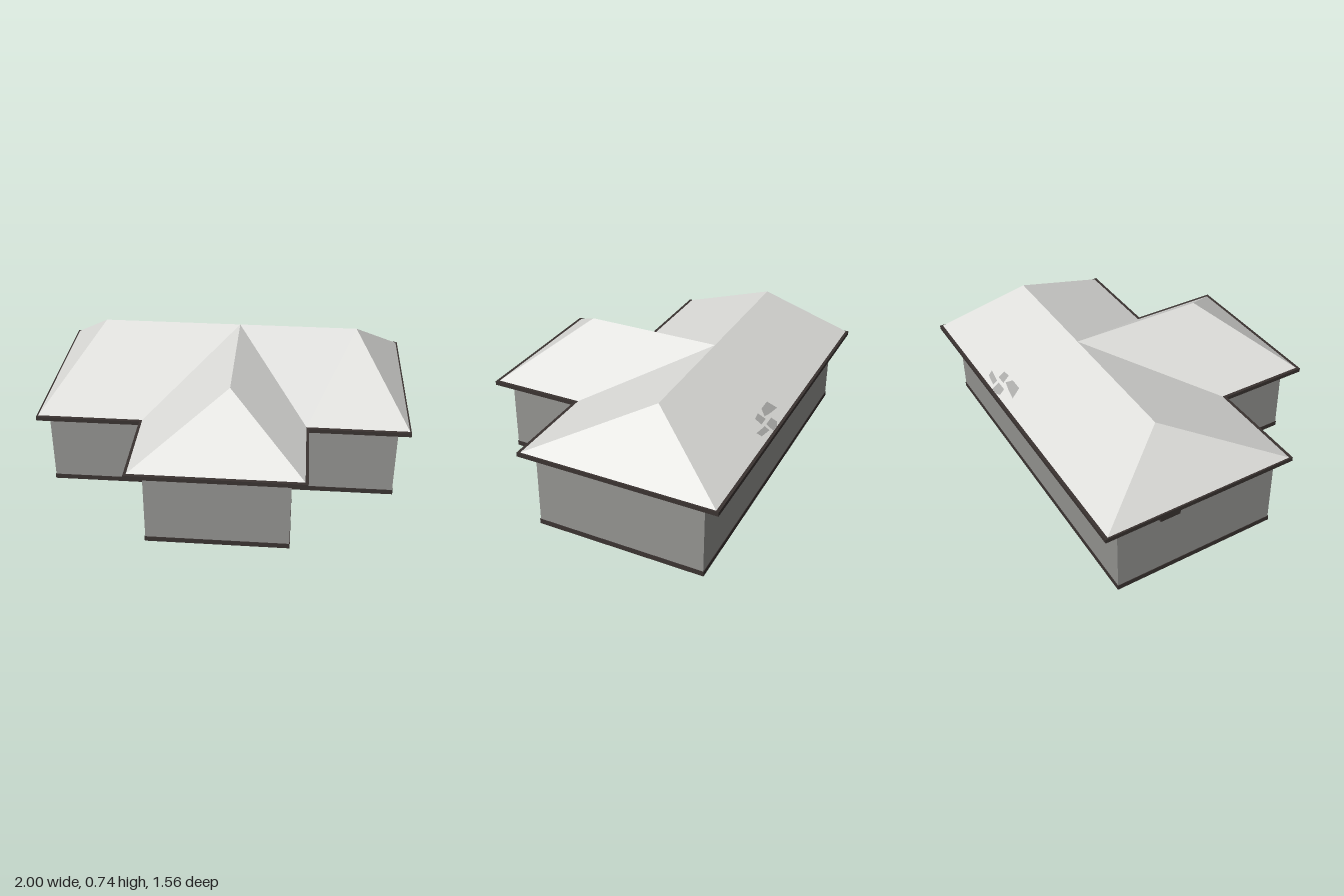
import * as THREE from 'three';

const mat = (name, color, side = THREE.FrontSide) => {
  const m = new THREE.MeshStandardMaterial({ color, side });
  m.name = name;
  return m;
};

// T-shaped floor plan, extruded upwards from y0 to y1
function plan(x0, x1, zBack, zMid, zFront, w0, w1, y0, y1) {
  const pts = [[x0, zBack], [x1, zBack], [x1, zMid], [w1, zMid], [w1, zFront], [w0, zFront], [w0, zMid], [x0, zMid]];
  const shape = new THREE.Shape(pts.map(([x, z]) => new THREE.Vector2(x, -z)));
  const g = new THREE.ExtrudeGeometry(shape, { depth: y1 - y0, bevelEnabled: false });
  g.rotateX(-Math.PI / 2);
  g.translate(0, y0, 0);
  return g;
}

// Flat polygons (counter-clockwise from outside), each split into a fan
function facets(polys) {
  const pos = [];
  for (const p of polys)
    for (let i = 1; i < p.length - 1; i++) pos.push(...p[0], ...p[i], ...p[i + 1]);
  const g = new THREE.BufferGeometry();
  g.setAttribute('position', new THREE.Float32BufferAttribute(pos, 3));
  g.computeVertexNormals();
  return g;
}

export function createModel() {
  const group = new THREE.Group();
  const roofMat = mat('pale roof', 0xdededb, THREE.DoubleSide);
  const wallMat = mat('grey wall', 0x92928f);
  const trimMat = mat('dark trim', 0x3a3331);
  const patchMat = mat('worn roof patch', 0xa9a9a7, THREE.DoubleSide);
  const add = (name, geometry, material, parent = group) => {
    const m = new THREE.Mesh(geometry, material);
    m.name = name;
    parent.add(m);
    return m;
  };
  const box = (name, w, h, d, x, y, z, parent) =>
    add(name, new THREE.BoxGeometry(w, h, d), trimMat, parent).position.set(x, y, z);

  // Walls on a dark plinth, with a dark eave board around the roof edge
  add('walls', plan(-0.945, 0.94, -0.69, 0.21, 0.72, -0.355, 0.385, 0.025, 0.43), wallMat);
  add('plinth', plan(-0.948, 0.943, -0.693, 0.213, 0.723, -0.358, 0.388, 0, 0.027), trimMat);
  add('eaves', plan(-1, 1, -0.78, 0.28, 0.78, -0.44, 0.465, 0.422, 0.444), trimMat);
  for (const x of [-0.355, 0.385]) box('innerCornerBead', 0.008, 0.4, 0.008, x, 0.225, 0.212);

  // Hipped main roof joined by a hipped front wing
  const e = 0.445, r = 0.735;
  const bl = [-0.992, e, -0.765], br = [0.992, e, -0.765];
  const fl = [-0.992, e, 0.263], fr = [0.992, e, 0.263];
  const rl = [-0.715, r, -0.345], rr = [0.715, r, -0.345];
  const vl = [-0.425, e, 0.263], vr = [0.45, e, 0.263];
  const wl = [-0.425, e, 0.763], wr = [0.45, e, 0.763];
  const junction = [0.055, r, -0.345], wingTip = [0.055, r, 0.385];
  add('roof', facets([
    [br, bl, rl, rr],
    [bl, fl, rl],
    [fr, br, rr],
    [fl, vl, junction, rl],
    [vr, fr, rr, junction],
    [vl, wl, wingTip, junction],
    [wr, vr, junction, wingTip],
    [wl, wr, wingTip],
  ]), roofMat);

  // Worn patches lying on the back slope
  const onSlope = (x, z) => [x, e + 0.003 + (r - e) * (z + 0.765) / 0.42, z];
  const worn = [
    [[0.1, -0.72], [0.12, -0.67], [0.2, -0.67], [0.23, -0.7], [0.18, -0.71]],
    [[0.19, -0.755], [0.2, -0.725], [0.27, -0.725], [0.27, -0.765], [0.22, -0.765]],
    [[0.24, -0.71], [0.25, -0.67], [0.3, -0.675], [0.3, -0.71]],
    [[0.29, -0.75], [0.29, -0.725], [0.38, -0.715], [0.37, -0.74]],
  ];
  add('wornRoofPatches', facets(worn.map(p => p.map(([x, z]) => onSlope(x, z)))), patchMat);

  // Broken gutter pieces below the back eave and one on the side
  const gutter = new THREE.Group();
  gutter.name = 'gutterRemains';
  group.add(gutter);
  for (const [x, w, h] of [[0.12, 0.09, 0.025], [0.19, 0.05, 0.05], [0.26, 0.08, 0.025], [0.34, 0.06, 0.04], [0.4, 0.04, 0.055]])
    box('gutterPiece', w, h, 0.04, x, 0.424 - h / 2, -0.72, gutter);
  box('sideGutterPiece', 0.03, 0.045, 0.11, -0.965, 0.4, -0.42, gutter);

  return group;
}
